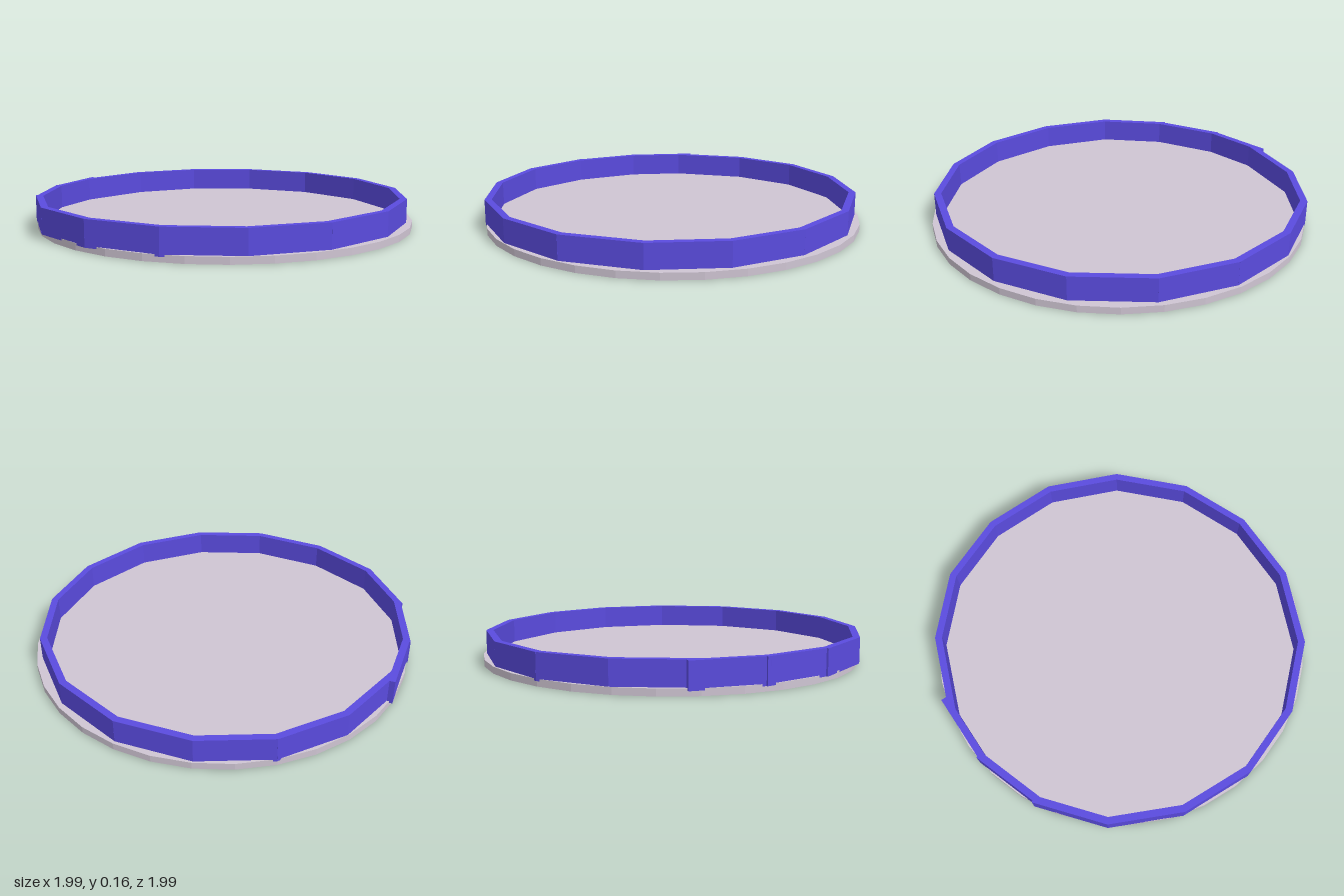
import * as THREE from 'three';

export function createModel() {
  const model = new THREE.Group();
  const floorMat = new THREE.MeshStandardMaterial({ color: 0xcfc5d3, flatShading: true });
  const wallMat = new THREE.MeshStandardMaterial({ color: 0x5a4bde, flatShading: true });

  // Thin 32-sided floor disc
  const floor = new THREE.Mesh(new THREE.CylinderGeometry(0.992, 0.992, 0.035, 32), floorMat);
  floor.name = 'floorDisc';
  floor.position.set(0, 0.0175, -0.006);
  model.add(floor);

  // Centre line of the wall [x, z, overhang past the end of the panel arriving here]
  const corners = [
    [-0.185, -0.945], [0.205, -0.93], [0.565, -0.76], [0.815, -0.48],
    [0.94, -0.12], [0.915, 0.28], [0.735, 0.62], [0.445, 0.86],
    [0.075, 0.973], [-0.305, 0.94], [-0.615, 0.76, 0.025], [-0.845, 0.48, 0.02],
    [-0.95, 0.2, 0.075], [-0.95, -0.21], [-0.81, -0.55], [-0.54, -0.805],
  ];
  const bottom = 0.025, top = 0.158, thickness = 0.036;
  const lap = 0.0036; // closes the outside of each joint

  // Ring of straight wall panels
  const wall = new THREE.Group();
  wall.name = 'wallRing';
  corners.forEach(([x0, z0], i) => {
    const [x1, z1, overhang = 0] = corners[(i + 1) % corners.length];
    const dir = new THREE.Vector2(x1 - x0, z1 - z0);
    const span = dir.length();
    dir.normalize();
    const length = span + 2 * lap + overhang;
    const mid = span / 2 + overhang / 2;
    const panel = new THREE.Mesh(new THREE.BoxGeometry(length, top - bottom, thickness), wallMat);
    panel.name = `wallPanel${i + 1}`;
    panel.position.set(x0 + dir.x * mid, (top + bottom) / 2, z0 + dir.y * mid);
    panel.rotation.y = -Math.atan2(dir.y, dir.x);
    wall.add(panel);
  });
  model.add(wall);
  return model;
}
